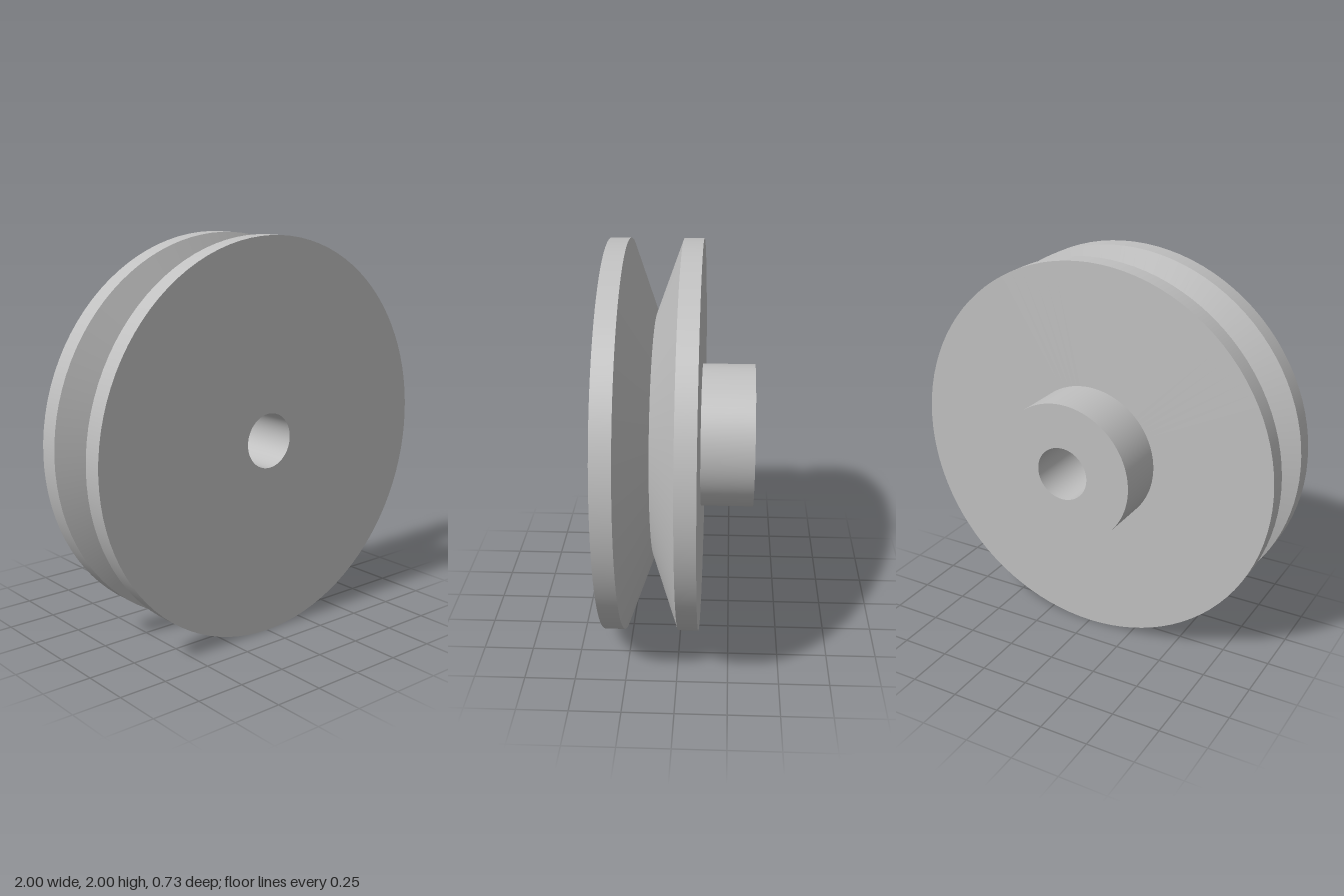
import * as THREE from 'three';
import { mergeGeometries } from 'three/addons/utils/BufferGeometryUtils.js';

const SEGMENTS = 96;

// Revolve a [radius, z] profile about z; each span is its own lathe so corners stay sharp
function turned(name, profile, material) {
  const spans = [];
  for (let i = 0; i < profile.length - 1; i++) {
    const pair = [profile[i], profile[i + 1]].map(([r, z]) => new THREE.Vector2(r, z));
    spans.push(new THREE.LatheGeometry(pair, SEGMENTS));
  }
  const geometry = mergeGeometries(spans);
  geometry.rotateX(Math.PI / 2);
  const mesh = new THREE.Mesh(geometry, material);
  mesh.name = name;
  return mesh;
}

export function createModel() {
  const metal = new THREE.MeshStandardMaterial({ color: 0xc0c0c0 });
  metal.name = 'grey metal';

  const bore = 0.138, hub = 0.367, rim = 1, groove = 0.63;
  const back = -0.367, web = -0.1, grooveBack = 0, grooveMid = 0.133, grooveFront = 0.267, front = 0.367;

  const pulley = new THREE.Group();
  pulley.name = 'pulley';
  pulley.add(
    // Wheel: back face, rear flange, V groove, front flange, front face
    turned('grooved wheel', [
      [hub, web], [rim, web], [rim, grooveBack], [groove, grooveMid],
      [rim, grooveFront], [rim, front], [bore, front],
    ], metal),
    // Hub projecting from the back
    turned('hub', [[bore, back], [hub, back], [hub, web]], metal),
    // Shaft hole through wheel and hub
    turned('shaft bore', [[bore, front], [bore, back]], metal),
  );
  pulley.position.y = 1;

  const model = new THREE.Group();
  model.name = 'grooved pulley';
  model.add(pulley);
  return model;
}
